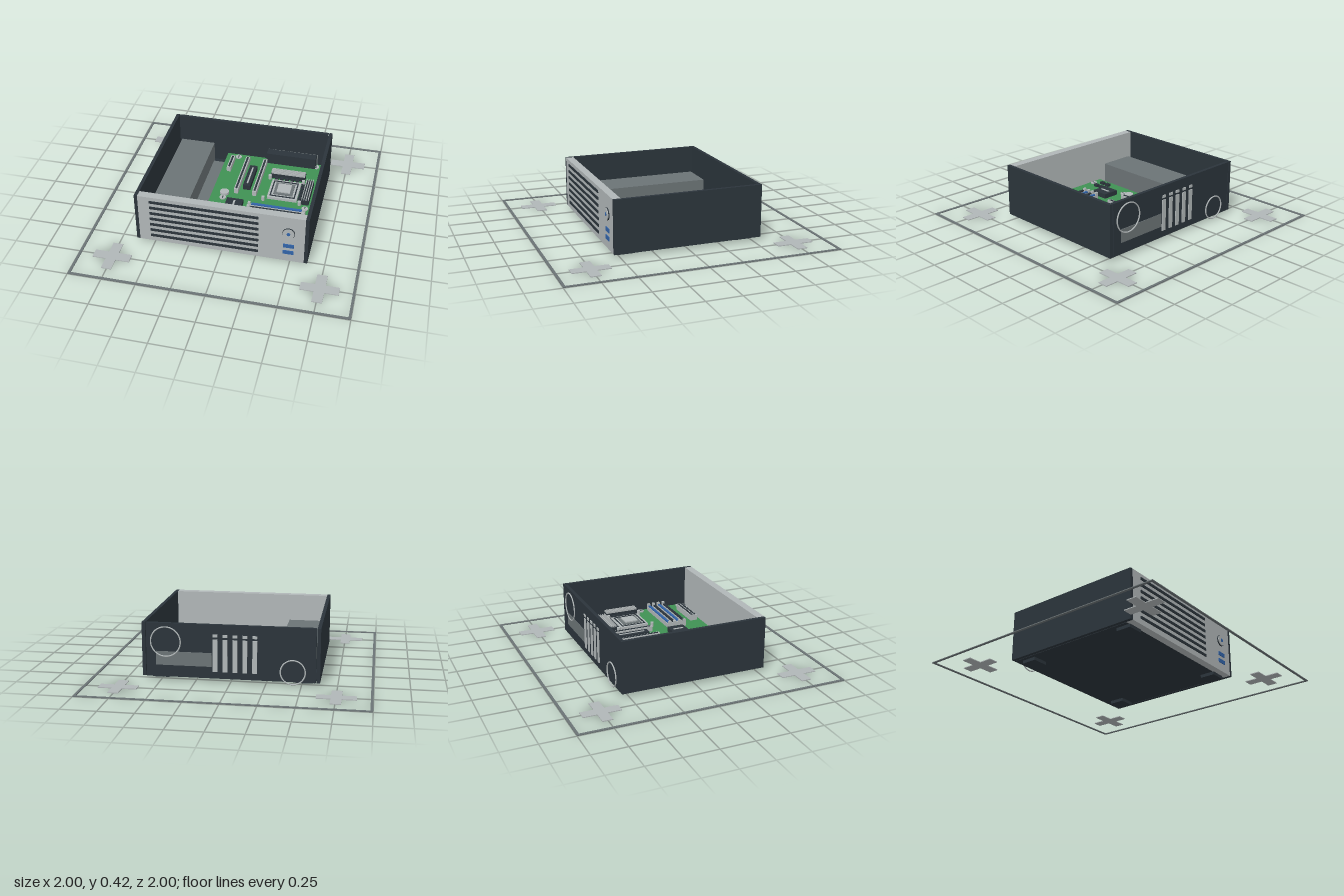
import * as THREE from 'three';

const mat = (name, color) => Object.assign(new THREE.MeshStandardMaterial({ color }), { name });

export function createModel() {
  const dark = mat('charcoal', 0x2b343b);
  const silver = mat('silver', 0xb0b6b7);
  const grey = mat('steel grey', 0x6b7375);
  const green = mat('board green', 0x3f9153);
  const blue = mat('blue', 0x3163a8);

  const model = new THREE.Group();
  model.name = 'desktopComputer';
  const group = (name) => {
    const g = new THREE.Group();
    g.name = name;
    model.add(g);
    return g;
  };
  // Box given by its min and max on each axis
  const box = (parent, name, m, x0, x1, y0, y1, z0, z1) => {
    const mesh = new THREE.Mesh(new THREE.BoxGeometry(x1 - x0, y1 - y0, z1 - z0), m);
    mesh.position.set((x0 + x1) / 2, (y0 + y1) / 2, (z0 + z1) / 2);
    mesh.name = name;
    parent.add(mesh);
    return mesh;
  };
  // Disc standing on a surface, or facing along z
  const disc = (parent, name, m, r, h, x, y, z, facing = false) => {
    const mesh = new THREE.Mesh(new THREE.CylinderGeometry(r, r, h, 28), m);
    if (facing) mesh.rotation.x = Math.PI / 2;
    mesh.position.set(x, y, z);
    mesh.name = name;
    parent.add(mesh);
    return mesh;
  };
  // Flat square or rectangular frame lying on a surface
  const frame = (parent, name, m, x0, x1, z0, z1, t, y0, y1) => {
    box(parent, name, m, x0, x1, y0, y1, z0, z0 + t);
    box(parent, name, m, x0, x1, y0, y1, z1 - t, z1);
    box(parent, name, m, x0, x0 + t, y0, y1, z0 + t, z1 - t);
    box(parent, name, m, x1 - t, x1, y0, y1, z0 + t, z1 - t);
  };

  // Floor outline and corner crosses
  const floor = group('floorMarks');
  frame(floor, 'floorOutline', grey, -1, 1, -1, 1, 0.018, 0, 0.006);
  for (const x of [-0.753, 0.753]) for (const z of [-0.753, 0.753]) {
    box(floor, 'crossBar', silver, x - 0.137, x + 0.137, 0, 0.006, z - 0.037, z + 0.037);
    for (const s of [-1, 1]) {
      box(floor, 'crossArm', silver, x - 0.037, x + 0.037, 0, 0.006,
        z + (s < 0 ? -0.137 : 0.037), z + (s < 0 ? -0.037 : 0.137));
    }
  }

  // Open case
  const shell = group('case');
  box(shell, 'basePlate', dark, -0.6, 0.6, 0.03, 0.05, -0.53, 0.49);
  box(shell, 'rearWall', dark, -0.6, 0.6, 0.03, 0.42, -0.553, -0.528);
  for (const s of [-1, 1]) {
    box(shell, 'sidePanel', dark, s * 0.6175 - 0.0125, s * 0.6175 + 0.0125, 0.03, 0.42, -0.553, 0.547);
    box(shell, 'sideRail', dark, s * 0.594 - 0.014, s * 0.594 + 0.014, 0.05, 0.1, -0.528, 0.49);
    for (const z of [-0.435, 0.44]) {
      box(shell, 'foot', dark, s * 0.513 - 0.06, s * 0.513 + 0.06, 0.006, 0.03, z - 0.058, z + 0.058);
    }
  }
  box(shell, 'boardTray', grey, -0.31, 0.58, 0.05, 0.06, -0.48, 0.39);
  box(shell, 'powerSupply', grey, -0.58, -0.31, 0.05, 0.215, -0.51, 0.49);

  // Front panel with slots, power button and ports
  const front = group('frontPanel');
  box(front, 'frontPlate', silver, -0.605, 0.605, 0.03, 0.42, 0.49, 0.548);
  for (let i = 0; i < 7; i++) {
    const y = 0.081 + i * 0.05;
    box(front, 'ventSlot', dark, -0.52, 0.275, y - 0.01, y + 0.01, 0.546, 0.554);
  }
  disc(front, 'buttonRim', dark, 0.044, 0.012, 0.49, 0.283, 0.549, true);
  disc(front, 'powerButton', silver, 0.041, 0.018, 0.49, 0.283, 0.552, true);
  disc(front, 'buttonLight', blue, 0.013, 0.006, 0.49, 0.283, 0.561, true);
  for (const y of [0.11, 0.168]) {
    box(front, 'frontPort', blue, 0.453, 0.53, y - 0.015, y + 0.015, 0.546, 0.554);
  }

  // Rear fan rings, expansion covers and port shield
  const rear = group('rearDetails');
  for (const [x, y, r] of [[0.46, 0.285, 0.107], [-0.44, 0.1, 0.087]]) {
    const ring = new THREE.Mesh(new THREE.TorusGeometry(r, 0.005, 8, 48), silver);
    ring.position.set(x, y, -0.557);
    ring.name = 'fanRing';
    rear.add(ring);
  }
  for (let i = 0; i < 5; i++) {
    const x = -0.174 + i * 0.07;
    box(rear, 'expansionCover', silver, x - 0.017, x + 0.017, 0.08, 0.315, -0.559, -0.551);
    box(rear, 'coverTab', silver, x - 0.017, x + 0.017, 0.33, 0.35, -0.559, -0.551);
  }
  box(rear, 'portShield', grey, 0.13, 0.53, 0.115, 0.215, -0.557, -0.524);

  // Circuit board with everything mounted on it
  const board = group('mainBoard');
  const Y = 0.125;
  box(board, 'circuitBoard', green, -0.2, 0.562, 0.113, Y, -0.523, 0.43);
  const part = (name, m, x0, x1, z0, z1, h, base = 0) =>
    box(board, name, m, x0, x1, Y + base, Y + h, z0, z1);

  for (const x of [-0.103, 0.527]) for (const z of [-0.483, 0.062, 0.397]) {
    disc(board, 'standoff', silver, 0.015, 0.055, x, 0.087, z);
    disc(board, 'boardScrew', silver, 0.024, 0.008, x, Y + 0.004, z);
    part('screwSlot', dark, x - 0.003, x + 0.003, z - 0.015, z + 0.015, 0.01, 0.007);
  }
  disc(board, 'battery', silver, 0.034, 0.02, -0.103, Y + 0.01, 0.005);
  part('portBlock', dark, 0.13, 0.522, -0.527, -0.458, 0.09);

  // Expansion slots
  for (const [x, z0, z1] of [[-0.138, -0.445, -0.278], [-0.018, -0.452, -0.012], [0.124, -0.452, -0.012]]) {
    part('expansionSlot', silver, x - 0.016, x + 0.016, z0, z1, 0.04);
    part('slotGap', dark, x - 0.007, x + 0.007, z0 + 0.012, z1 - 0.012, 0.043, 0.039);
  }
  part('graphicsSlot', dark, 0.022, 0.08, -0.343, -0.075, 0.04);
  part('graphicsSlotGap', silver, 0.045, 0.057, -0.31, -0.105, 0.043, 0.039);

  // Processor socket
  part('socketBase', silver, 0.225, 0.452, -0.228, 0, 0.02);
  frame(board, 'socketTrim', dark, 0.242, 0.435, -0.211, -0.018, 0.009, Y + 0.019, Y + 0.024);
  frame(board, 'socketRing', grey, 0.265, 0.412, -0.188, -0.041, 0.022, Y + 0.019, Y + 0.026);
  part('processor', silver, 0.287, 0.39, -0.166, -0.063, 0.035, 0.019);

  // Finned heat sinks and the coils beside them
  part('heatSink', dark, 0.203, 0.472, -0.328, -0.27, 0.04);
  part('heatSink', dark, 0.487, 0.547, -0.248, 0.013, 0.04);
  for (let i = 0; i < 4; i++) {
    const o = i * 0.0165;
    part('heatSinkFin', silver, 0.205, 0.47, -0.326 + o, -0.321 + o, 0.055, 0.039);
    part('heatSinkFin', silver, 0.49 + o, 0.495 + o, -0.246, 0.011, 0.055, 0.039);
  }
  for (let i = 0; i < 5; i++) {
    const o = i * 0.041;
    part('coil', dark, 0.24 + o, 0.265 + o, -0.262, -0.238, 0.025);
    part('coil', dark, 0.457, 0.481, -0.208 + o, -0.184 + o, 0.025);
  }
  for (const [x, z] of [[0.2, -0.257], [0.2, 0.022], [0.465, -0.24], [0.477, 0.022]]) {
    disc(board, 'capacitor', silver, 0.013, 0.035, x, Y + 0.0175, z);
  }

  // Memory slots with end latches
  for (let i = 0; i < 4; i++) {
    const z = 0.135 + i * 0.042;
    part('memorySlot', silver, 0.125, 0.525, z - 0.014, z + 0.014, 0.035);
    part('memorySlotGap', i % 2 ? dark : blue, 0.135, 0.515, z - 0.009, z + 0.009, 0.045, 0.034);
    for (const x of [0.118, 0.533]) part('memoryLatch', silver, x - 0.01, x + 0.01, z - 0.01, z + 0.01, 0.055);
  }

  // Chipset, small chips and power connector
  part('chipset', dark, -0.06, 0.065, 0.092, 0.222, 0.035);
  part('chipsetBar', silver, -0.004, 0.01, 0.117, 0.197, 0.038, 0.034);
  for (const x of [-0.138, -0.07]) for (const z of [0.275, 0.33]) {
    part('smallChip', dark, x - 0.013, x + 0.013, z - 0.018, z + 0.018, 0.02);
  }
  part('powerConnector', silver, 0.188, 0.46, 0.348, 0.403, 0.045);
  for (let i = 0; i < 12; i++) for (const z of [0.363, 0.388]) {
    const x = 0.203 + i * 0.022;
    part('powerPin', dark, x - 0.007, x + 0.007, z - 0.008, z + 0.008, 0.048, 0.044);
  }
  return model;
}
